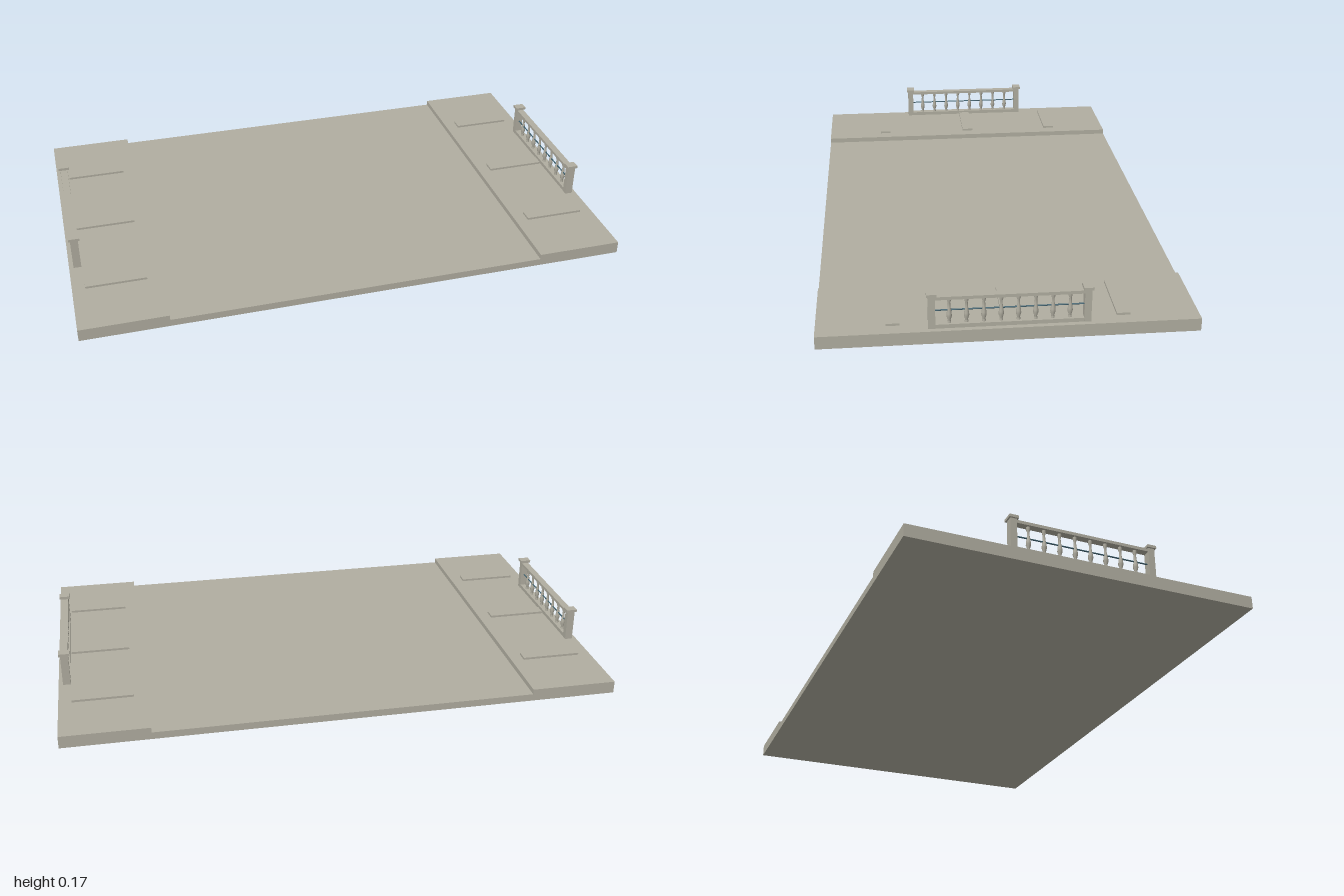
import * as THREE from 'three';

const stone = new THREE.MeshStandardMaterial({ color: 0xb0ada0 });
stone.name = 'stone';
const steel = new THREE.MeshStandardMaterial({ color: 0x3f6270 });
steel.name = 'blue steel';

// Box given by its centre in x and z and by its bottom and top heights
function box(parent, name, x, z, w, d, y0, y1) {
  const mesh = new THREE.Mesh(new THREE.BoxGeometry(w, y1 - y0, d), stone);
  mesh.name = name;
  mesh.position.set(x, (y0 + y1) / 2, z);
  parent.add(mesh);
}

// Turned baluster profile: foot, belly, slim neck and head
const balusterGeometry = new THREE.LatheGeometry([
  [0.006, 0], [0.006, 0.006], [0.0045, 0.009], [0.009, 0.024], [0.008, 0.034],
  [0.0045, 0.058], [0.004, 0.072], [0.0065, 0.079], [0.0065, 0.09],
].map(([r, y]) => new THREE.Vector2(r, y)), 10);

function balustrade() {
  const group = new THREE.Group();
  group.name = 'balustrade';
  for (const s of [-1, 1]) {
    box(group, 'post', 0, s * 0.251, 0.028, 0.023, 0.045, 0.163);
    box(group, 'postCap', 0, s * 0.251, 0.04, 0.033, 0.162, 0.172);
  }
  box(group, 'bottomRail', 0, 0, 0.026, 0.48, 0.045, 0.059);
  box(group, 'topRail', 0, 0, 0.026, 0.48, 0.148, 0.159);

  for (let i = 0; i < 8; i++) {
    const baluster = new THREE.Mesh(balusterGeometry, stone);
    baluster.name = 'baluster';
    baluster.position.set(0, 0.0585, (i - 3.5) * 0.0556);
    group.add(baluster);
  }

  // Thin rod running through the balusters
  const rod = new THREE.Mesh(new THREE.CylinderGeometry(0.0025, 0.0025, 0.48, 8), steel);
  rod.name = 'middleRod';
  rod.rotation.x = Math.PI / 2;
  rod.position.y = 0.105;
  group.add(rod);
  return group;
}

export function createModel() {
  const model = new THREE.Group();
  model.name = 'bridgeDeck';

  box(model, 'roadway', 0, 0, 1.374, 1.246, 0, 0.026);

  for (const s of [-1, 1]) {
    const side = new THREE.Group();
    side.name = s > 0 ? 'leftSide' : 'rightSide';
    box(side, 'sidewalk', s * 0.8435, 0, 0.313, 1.246, 0, 0.045);
    // Raised slabs across the sidewalk
    for (const z of [-0.375, 0, 0.375]) {
      box(side, 'raisedSlab', s * 0.844, z, 0.219, 0.045, 0.045, 0.053);
    }
    const fence = balustrade();
    fence.position.x = s * 0.97;
    side.add(fence);
    model.add(side);
  }
  return model;
}
